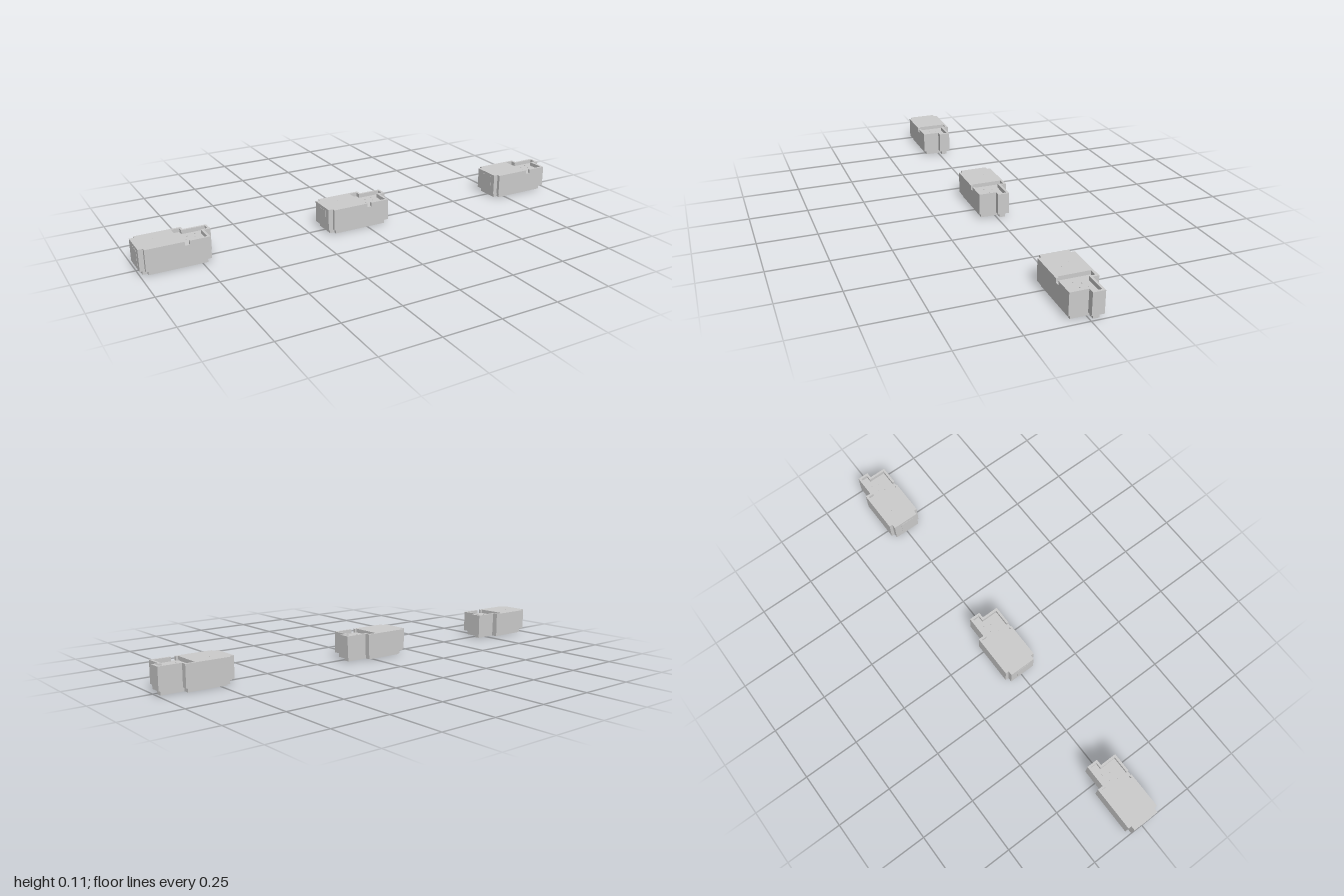
import * as THREE from 'three';

const material = new THREE.MeshStandardMaterial({ color: 0xcccccc, flatShading: true });

// Offsets a clockwise right-angled plan [x, z] inward
function inset(points, d) {
  const n = points.length;
  const normal = (a, b) => {
    const dx = b[0] - a[0], dz = b[1] - a[1], l = Math.hypot(dx, dz);
    return [-dz / l, dx / l];
  };
  return points.map((p, i) => {
    const u = normal(points[(i + n - 1) % n], p);
    const v = normal(p, points[(i + 1) % n]);
    return [p[0] + (u[0] + v[0]) * d, p[1] + (u[1] + v[1]) * d];
  });
}

// Raises a plan [x, z] from y0 to y1
function slab(name, plan, y0, y1) {
  const shape = new THREE.Shape(plan.map(([x, z]) => new THREE.Vector2(x, -z)));
  const geometry = new THREE.ExtrudeGeometry(shape, { depth: y1 - y0, bevelEnabled: false });
  geometry.rotateX(-Math.PI / 2).translate(0, y0, 0);
  const mesh = new THREE.Mesh(geometry, material);
  mesh.name = name;
  return mesh;
}

function box(name, x0, x1, y0, y1, z0, z1) {
  const mesh = new THREE.Mesh(new THREE.BoxGeometry(x1 - x0, y1 - y0, z1 - z0), material);
  mesh.position.set((x0 + x1) / 2, (y0 + y1) / 2, (z0 + z1) / 2);
  mesh.name = name;
  return mesh;
}

function createBuilding() {
  const building = new THREE.Group();
  building.name = 'building';
  const floor = 0.096, top = 0.113, split = 0.17;

  // Plans of the closed-roof end and the terrace end
  const west = [[0.02, 0.075], [0.02, 0.06], [0, 0.06], [0, -0.06], [0.02, -0.06], [0.02, -0.075]];
  const east = [[0.214, -0.075], [0.214, -0.05], [0.312, -0.05], [0.312, 0], [0.285, 0], [0.285, 0.075]];
  const outline = [...west, ...east];

  building.add(slab('plinth', inset(outline, 0.0125), 0, 0.02));
  building.add(slab('walls', outline, 0.02, floor));
  building.add(slab('roofBlock', [...west, [split, -0.075], [split, 0.075]], floor, top));

  // Parapet around the terrace, open at the drain slot beside the roof
  const terrace = [[split, -0.075], ...east, [0.2, 0.075]];
  const inner = inset([[split, -0.075], ...east, [split, 0.075]], 0.01);
  inner[0][0] = split;
  inner[inner.length - 1][0] = 0.2;
  building.add(slab('parapet', [...terrace, ...inner.reverse()], floor, top));
  building.add(box('parapetStub', split, 0.18, floor, top, 0.065, 0.075));

  // End door
  building.add(box('endDoor', -0.001, 0.004, 0.028, 0.1, -0.025, 0.035));

  // Small vents on the terrace and roof
  for (const [x, z] of [[0.2, 0.02], [0.215, -0.01], [0.24, 0.01], [0.25, -0.02]])
    building.add(box('terraceVent', x, x + 0.004, floor, floor + 0.003, z, z + 0.004));
  for (const [x, z] of [[0.08, -0.02], [0.11, 0.02]])
    building.add(box('roofVent', x, x + 0.003, top, top + 0.001, z, z + 0.003));
  return building;
}

export function createModel() {
  const model = new THREE.Group();
  model.name = 'buildingRow';
  // Three equal buildings in a row
  for (const x of [-1, -0.187, 0.688]) {
    const building = createBuilding();
    building.position.x = x;
    model.add(building);
  }
  return model;
}
